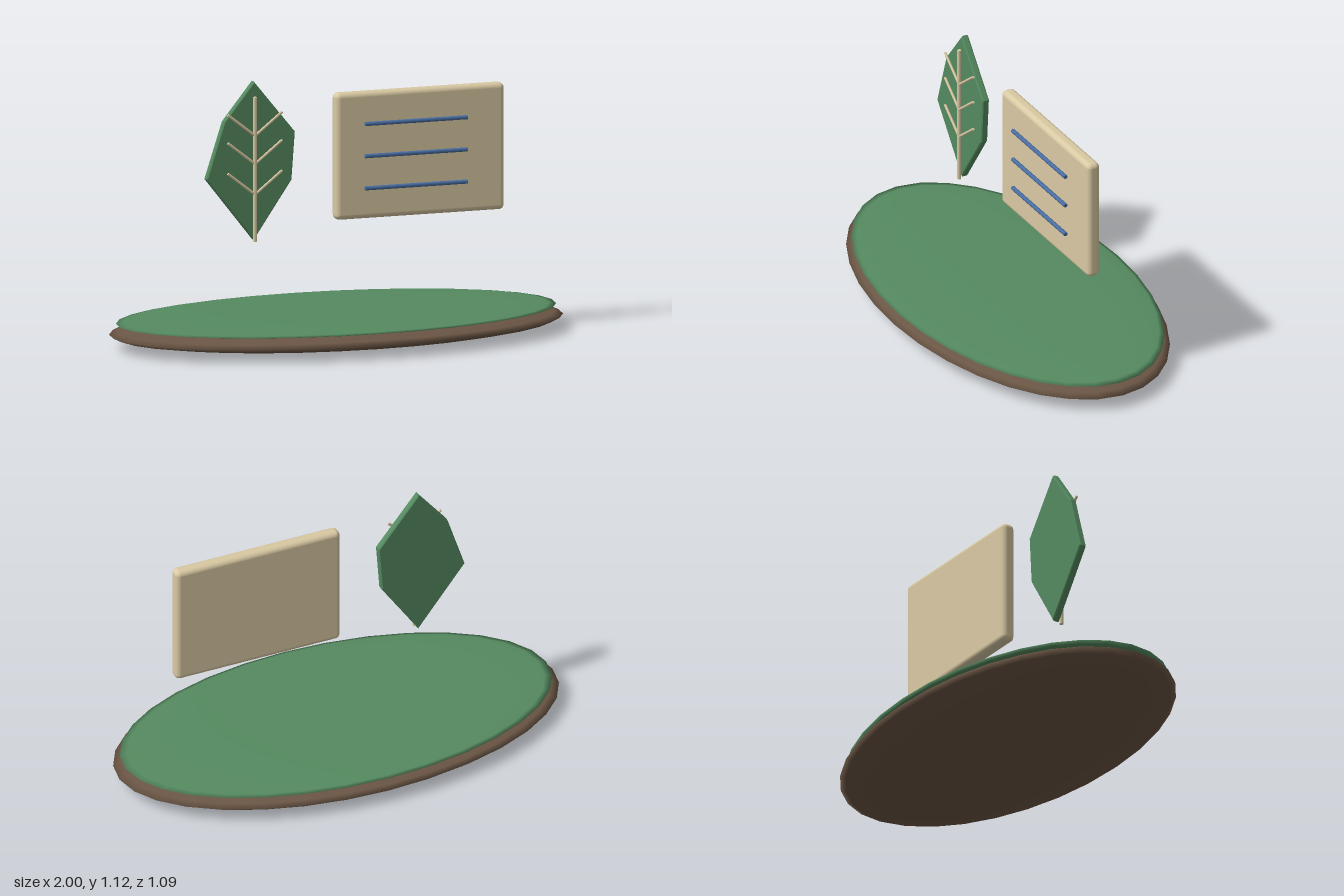
import * as THREE from 'three';
import { RoundedBoxGeometry } from 'three/addons/geometries/RoundedBoxGeometry.js';

const material = (color) => new THREE.MeshStandardMaterial({ color });

export function createModel() {
  const model = new THREE.Group();
  const soil = material(0x6b5645), grass = material(0x558a60);
  const cream = material(0xd9c9a3), blue = material(0x4a6fa5);

  function add(name, geometry, mat, x = 0, y = 0, z = 0, parent = model) {
    const mesh = new THREE.Mesh(geometry, mat);
    mesh.name = name;
    mesh.position.set(x, y, z);
    parent.add(mesh);
    return mesh;
  }

  // Thin rod between two points
  function rod(name, a, b, radius, mat, parent) {
    const dir = b.clone().sub(a);
    const mid = a.clone().add(b).multiplyScalar(0.5);
    const mesh = add(name, new THREE.CylinderGeometry(radius, radius, dir.length(), 8), mat, mid.x, mid.y, mid.z, parent);
    mesh.quaternion.setFromUnitVectors(new THREE.Vector3(0, 1, 0), dir.normalize());
  }
  const v = (x, y, z) => new THREE.Vector3(x, y, z);

  // Oval ground: a flattened soil ellipsoid with a grass layer on top
  const oval = new THREE.SphereGeometry(1, 32, 12);
  add('soilBase', oval, soil, 0, 0.06, 0).scale.set(1, 0.06, 0.545);
  add('grassTop', oval, grass, 0, 0.105, 0).scale.set(0.97, 0.017, 0.525);

  // Floating leaf with a midrib and three pairs of side veins
  const leaf = new THREE.Group();
  leaf.name = 'leaf';
  model.add(leaf);
  const outline = [[-0.375, 0.452], [-0.21, 0.692], [-0.195, 0.893], [-0.375, 1.112], [-0.505, 0.952], [-0.583, 0.715]];
  const blade = new THREE.ExtrudeGeometry(
    new THREE.Shape(outline.map(([x, y]) => new THREE.Vector2(x, y))),
    { depth: 0.022, bevelThickness: 0.005, bevelSize: 0.005, bevelSegments: 1 }
  );
  add('leafBlade', blade, grass, 0, 0, -0.011, leaf);
  rod('leafMidrib', v(-0.375, 0.44, 0.027), v(-0.375, 1.055, 0.027), 0.009, cream, leaf);
  for (const y of [0.64, 0.77, 0.89]) {
    for (const side of [-1, 1]) {
      rod('leafVein', v(-0.375, y, 0.027), v(-0.375 + side * 0.122, y + 0.095, 0.027), 0.006, cream, leaf);
    }
  }

  // Floating rounded panel with three raised bars
  const panel = new THREE.Group();
  panel.name = 'panel';
  model.add(panel);
  add('panelBoard', new RoundedBoxGeometry(0.76, 0.54, 0.06, 4, 0.022), cream, 0.37, 0.775, 0, panel);
  for (const y of [0.637, 0.774, 0.911]) {
    rod('panelBar', v(0.115, y, 0.041), v(0.575, y, 0.041), 0.009, blue, panel);
  }

  return model;
}
